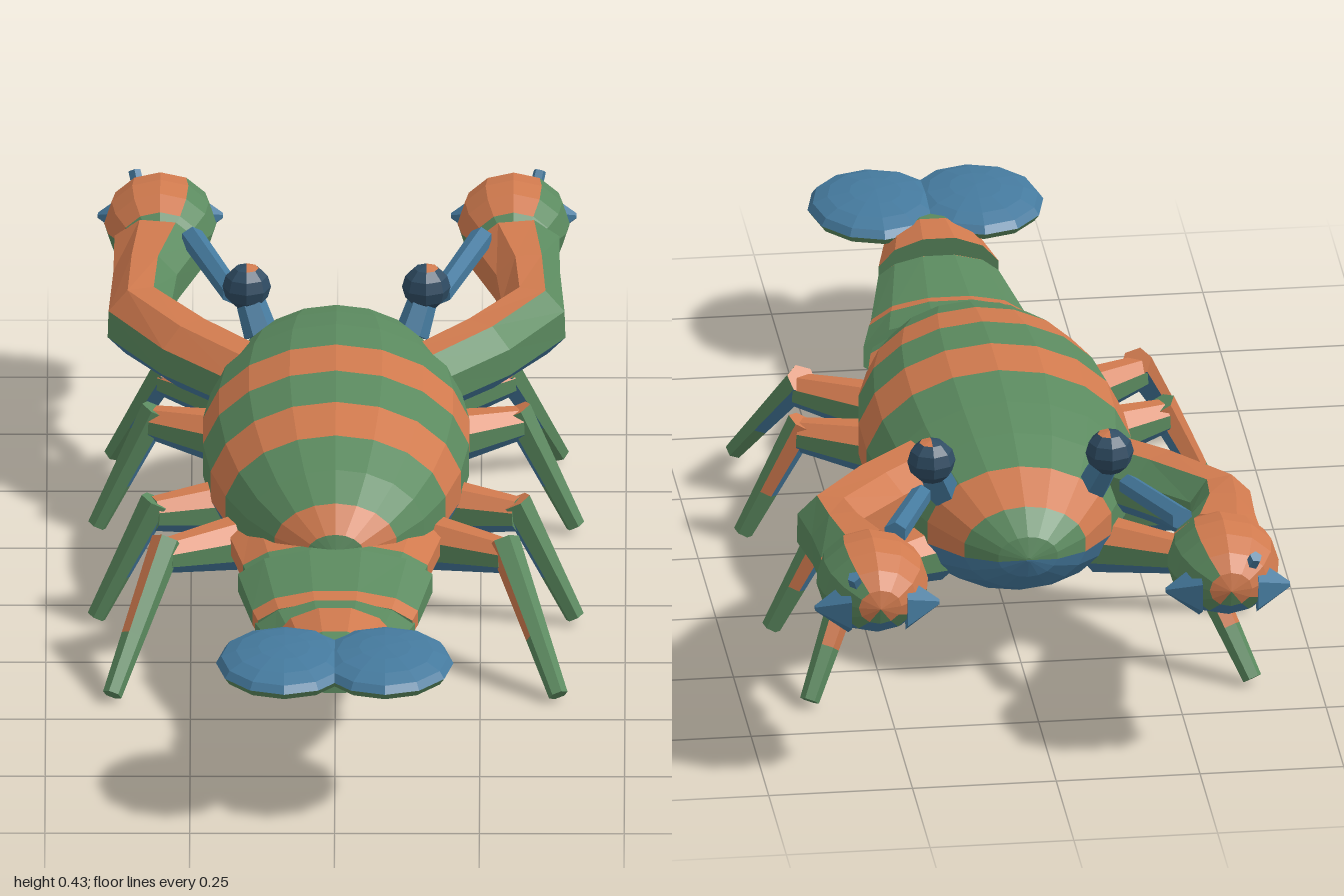
import * as THREE from 'three';

const makeMaterial = (name, color) => {
  const m = new THREE.MeshStandardMaterial({ color });
  m.name = name;
  return m;
};

const GREEN = 0, ORANGE = 1, BLUE = 2, NAVY = 3;

// Flat facets, sorted into material groups by rule(centroid, normal)
function paint(geometry, rule) {
  const src = geometry.index ? geometry.toNonIndexed() : geometry;
  const p = src.attributes.position;
  const bins = [[], [], [], []];
  const tri = new THREE.Triangle(), c = new THREE.Vector3(), n = new THREE.Vector3();
  for (let i = 0; i < p.count; i += 3) {
    tri.setFromAttributeAndIndices(p, i, i + 1, i + 2);
    if (tri.getArea() < 1e-9) continue;
    tri.getMidpoint(c);
    tri.getNormal(n);
    const bin = bins[rule(c, n)];
    for (const v of [tri.a, tri.b, tri.c]) bin.push(v.x, v.y, v.z);
  }
  const out = new THREE.BufferGeometry();
  out.setAttribute('position', new THREE.Float32BufferAttribute(bins.flat(), 3));
  let start = 0;
  bins.forEach((bin, k) => {
    if (bin.length) out.addGroup(start, bin.length / 3, k);
    start += bin.length / 3;
  });
  out.computeVertexNormals();
  return out;
}

// Closed skin over rings [x, y, z, rx, ry], each ring square to the path
function loft(rings, sides) {
  const up = new THREE.Vector3(0, 1, 0);
  const centres = rings.map(r => new THREE.Vector3(r[0], r[1], r[2]));
  const pos = [], idx = [], last = rings.length - 1;
  rings.forEach((r, i) => {
    const t = centres[Math.min(i + 1, last)].clone().sub(centres[Math.max(i - 1, 0)]).normalize();
    const side = t.clone().cross(up).normalize(), u = side.clone().cross(t);
    for (let k = 0; k < sides; k++) {
      const a = (k + 0.5) / sides * Math.PI * 2;
      const v = centres[i].clone().addScaledVector(side, Math.cos(a) * r[3])
        .addScaledVector(u, -Math.sin(a) * (r[4] ?? r[3]));
      pos.push(v.x, v.y, v.z);
    }
  });
  const startCap = rings.length * sides, endCap = startCap + 1;
  pos.push(...centres[0].toArray(), ...centres[last].toArray());
  for (let k = 0; k < sides; k++) {
    const k2 = (k + 1) % sides;
    for (let i = 0; i < last; i++) {
      const a = i * sides + k, b = i * sides + k2;
      idx.push(a, b, b + sides, a, b + sides, a + sides);
    }
    idx.push(startCap, k2, k, endCap, last * sides + k, last * sides + k2);
  }
  const g = new THREE.BufferGeometry();
  g.setAttribute('position', new THREE.Float32BufferAttribute(pos, 3));
  g.setIndex(idx);
  return g;
}

const ball = (x, y, z, rx, ry, rz, w, h) =>
  new THREE.SphereGeometry(1, w, h).scale(rx, ry, rz).translate(x, y, z);

// Limb patches: blue below, green toward +x and +z, orange elsewhere
const limbRule = (c, n) =>
  n.y < -0.25 ? BLUE : n.x > 0.42 || n.z > 0.5 ? GREEN : ORANGE;
const hipRule = (c, n) =>
  n.y < -0.25 ? BLUE : n.y > 0.3 ? ORANGE : GREEN;
const clawRule = (c, n) =>
  n.y < -0.6 ? BLUE : n.x > 0.35 || n.z > 0.5 || n.y < -0.25 ? GREEN : ORANGE;

export function createModel() {
  const model = new THREE.Group();
  model.name = 'lobster';
  const materials = [
    makeMaterial('shell green', 0x5b8a5f),
    makeMaterial('shell orange', 0xd07a4e),
    makeMaterial('shell blue', 0x457a9e),
    makeMaterial('eye navy', 0x2f4c63),
  ];
  const add = (name, geometry, rule, parent = model) => {
    const mesh = new THREE.Mesh(paint(geometry, rule), materials);
    mesh.name = name;
    parent.add(mesh);
  };

  // Striped shell over a blue belly
  const cuts = [-0.61, -0.598, -0.557, -0.476, -0.39, -0.295, -0.183, -0.069,
    0.045, 0.148, 0.235, 0.302, 0.344, 0.355];
  const bodyRings = cuts.map(z => {
    const f = Math.sqrt(Math.max(0, 1 - ((z + 0.1275) / 0.4826) ** 2));
    return [0, 0.242, z, 0.235 * f, 0.169 * f];
  });
  const stripes = [[-0.557, -0.476], [-0.183, -0.069], [0.045, 0.148], [0.302, 0.344]];
  add('body', loft(bodyRings, 18), c => {
    const angle = Math.atan2((c.y - 0.242) / 0.169, Math.abs(c.x) / 0.235);
    if (angle < -0.175) return BLUE;
    return stripes.some(([a, b]) => c.z > a && c.z < b) ? ORANGE : GREEN;
  });

  // Stepped tail segments: z range of the orange band, rings [z, y, rx, ry]
  const tail = [
    { band: [0, 0.335], rings: [[0.15, 0.2, 0.2, 0.06], [0.335, 0.203, 0.165, 0.055], [0.385, 0.2, 0.152, 0.05]] },
    { band: [0.49, 1], rings: [[0.365, 0.197, 0.174, 0.067], [0.49, 0.185, 0.148, 0.054], [0.525, 0.182, 0.138, 0.05]] },
    { band: [0.675, 1], rings: [[0.52, 0.17, 0.143, 0.063], [0.675, 0.197, 0.108, 0.05], [0.695, 0.2, 0.1, 0.046]] },
    { band: [0, 0.765], rings: [[0.672, 0.21, 0.108, 0.071], [0.765, 0.22, 0.085, 0.056], [0.82, 0.227, 0.068, 0.042]] },
  ];
  tail.forEach(({ band, rings }, i) =>
    add(`tailSegment${i + 1}`, loft(rings.map(([z, y, rx, ry]) => [0, y, z, rx, ry]), 12), (c, n) => {
      if (Math.abs(n.z) > 0.8) return GREEN;
      return n.y < -0.25 ? BLUE : c.z > band[0] && c.z < band[1] ? ORANGE : GREEN;
    }));

  // Legs: hip x, hip z, knee x, knee z, foot x, foot z
  const legs = [[0.14, 0.15, 0.295, 0.245, 0.385, 0.42], [0.17, 0, 0.315, 0.06, 0.413, 0.075],
    [0.17, -0.285, 0.315, -0.34, 0.413, -0.325], [0.14, -0.43, 0.295, -0.53, 0.385, -0.64]];

  for (const s of [1, -1]) {
    const side = s > 0 ? 'left' : 'right';

    // Tail fan lobe, blue above and green below
    add(`${side}TailFan`, ball(s * 0.087, 0.257, 0.857, 0.118, 0.033, 0.14, 12, 8),
      (c, n) => n.y > -0.1 ? BLUE : GREEN);

    // Walking legs
    legs.forEach(([hx, hz, kx, kz, fx, fz], i) => {
      const leg = new THREE.Group();
      leg.name = `${side}Leg${i + 1}`;
      model.add(leg);
      add('upperLeg', loft([[s * hx, 0.187, hz, 0.052], [s * kx, 0.196, kz, 0.03]], 8), hipRule, leg);
      const at = (t, r) => [s * THREE.MathUtils.lerp(kx, fx, t), 0.21 - 0.2 * t,
        THREE.MathUtils.lerp(kz, fz, t), r];
      add('lowerLeg', loft([at(-0.05, 0.028), at(0.6, 0.021)], 6), limbRule, leg);
      add('foot', loft([at(0.6, 0.021), at(1, 0.017)], 6), () => GREEN, leg);
    });

    // Claw arm
    add(`${side}Arm`, loft([
      [s * 0.13, 0.283, -0.3, 0.066, 0.06],
      [s * 0.25, 0.288, -0.43, 0.069, 0.063],
      [s * 0.34, 0.294, -0.56, 0.062, 0.067],
      [s * 0.33, 0.312, -0.67, 0.06, 0.066],
      [s * 0.308, 0.326, -0.785, 0.083, 0.066],
    ], 8), limbRule);

    // Rounded claw with side pincers and a small top spur
    const claw = new THREE.Group();
    claw.name = `${side}Claw`;
    model.add(claw);
    const x = s * 0.305;
    const palm = new THREE.SphereGeometry(1, 12, 8).rotateX(-Math.PI / 2)
      .scale(0.097, 0.082, 0.123).translate(x, 0.34, -0.877);
    add('palm', palm, clawRule, claw);
    for (const d of [1, -1]) {
      add('pincer', loft([[x + d * 0.05, 0.325, -0.945, 0.05], [x + d * 0.108, 0.325, -0.947, 0.005]], 6),
        () => BLUE, claw);
    }
    add('spur', loft([[s * 0.34, 0.36, -0.955, 0.012], [s * 0.35, 0.395, -0.98, 0.011]], 5), () => BLUE, claw);

    // Antenna
    add(`${side}Antenna`, loft([[s * 0.18, 0.348, -0.55, 0.019], [s * 0.25, 0.368, -0.75, 0.021]], 6),
      () => BLUE);

    // Eye on a short stalk, with a small orange patch on top
    add(`${side}EyeStalk`, loft([[s * 0.13, 0.31, -0.46, 0.03], [s * 0.155, 0.38, -0.495, 0.024]], 6),
      () => BLUE);
    add(`${side}Eye`, ball(s * 0.155, 0.386, -0.493, 0.042, 0.04, 0.042, 8, 6),
      (c, n) => n.y > 0.85 && n.x > 0 ? ORANGE : NAVY);
  }
  return model;
}
